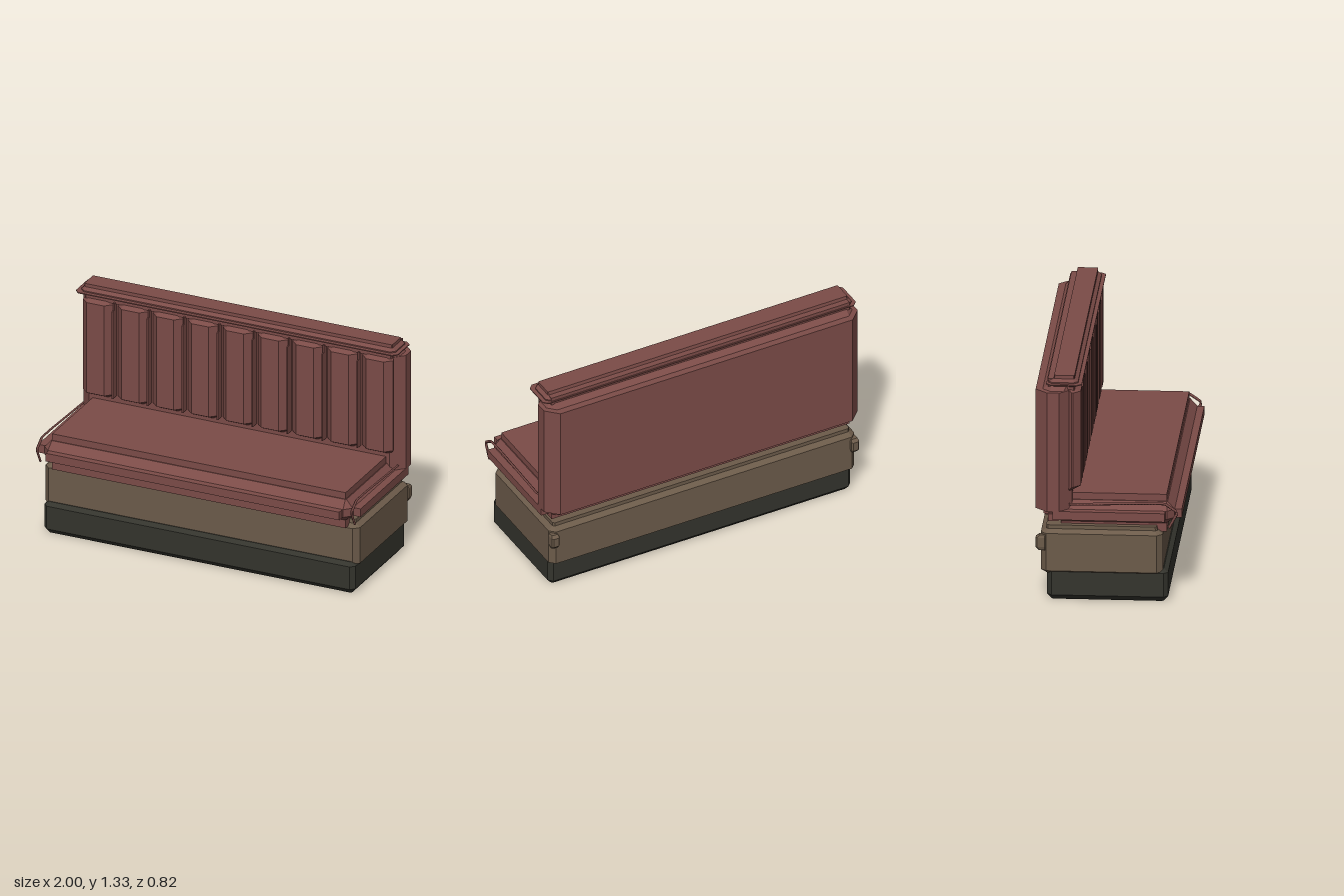
import * as THREE from 'three';

// Stack of octagonal rings [y, halfWidth, zBack, zFront, cornerCut], capped at both ends.
function loft(rings) {
  const pos = [];
  const loops = rings.map(([y, h, b, f, c]) => [
    [h - c, y, f], [h, y, f - c], [h, y, b + c], [h - c, y, b],
    [c - h, y, b], [-h, y, b + c], [-h, y, f - c], [c - h, y, f],
  ]);
  const tri = (a, b, c) => pos.push(...a, ...b, ...c);
  for (let i = 0; i < loops.length - 1; i++) {
    const lo = loops[i], hi = loops[i + 1];
    for (let k = 0; k < 8; k++) {
      const n = (k + 1) % 8;
      tri(lo[k], lo[n], hi[n]);
      tri(lo[k], hi[n], hi[k]);
    }
  }
  const bottom = loops[0], top = loops[loops.length - 1];
  for (let k = 1; k < 7; k++) {
    tri(top[0], top[k], top[k + 1]);
    tri(bottom[0], bottom[k + 1], bottom[k]);
  }
  const g = new THREE.BufferGeometry();
  g.setAttribute('position', new THREE.Float32BufferAttribute(pos, 3));
  g.computeVertexNormals();
  return g;
}

// Box given by its limits on each axis.
function block(x0, x1, y0, y1, z0, z1) {
  return new THREE.BoxGeometry(x1 - x0, y1 - y0, z1 - z0)
    .translate((x0 + x1) / 2, (y0 + y1) / 2, (z0 + z1) / 2);
}

export function createModel() {
  const model = new THREE.Group();
  model.name = 'boothBench';
  const paint = (name, color) => {
    const m = new THREE.MeshStandardMaterial({ color });
    m.name = name;
    return m;
  };
  const red = paint('redUpholstery', 0x7c4c48);
  const brown = paint('brownBase', 0x6c5b4a);
  const dark = paint('darkPlinth', 0x34342d);
  const add = (name, geometry, material, x = 0) => {
    const mesh = new THREE.Mesh(geometry, material);
    mesh.name = name;
    mesh.position.x = x;
    model.add(mesh);
  };

  // Plinth and base cabinet
  add('plinth', loft([
    [0, 0.94, -0.32, 0.31, 0.01], [0.03, 0.965, -0.345, 0.335, 0.025],
    [0.17, 0.965, -0.345, 0.335, 0.025], [0.19, 0.94, -0.32, 0.31, 0.01],
  ]), dark);
  add('baseCabinet', loft([
    [0.155, 0.945, -0.35, 0.275, 0.01], [0.175, 0.975, -0.38, 0.305, 0.032],
    [0.395, 0.975, -0.38, 0.305, 0.032], [0.415, 0.945, -0.35, 0.275, 0.01],
    [0.437, 0.945, -0.35, 0.27, 0.01],
  ]), brown);

  // Seat: lower rim, bevelled cushion, and lips on all four edges
  add('seatUnderside', block(-0.91, 0.91, 0.4, 0.46, -0.27, 0.325), red);
  add('seatCushion', loft([
    [0.45, 0.91, -0.27, 0.325, 0.005], [0.487, 0.955, -0.315, 0.37, 0.04],
    [0.535, 0.955, -0.315, 0.37, 0.04], [0.58, 0.915, -0.27, 0.33, 0.005],
  ]), red);
  add('seatTop', block(-0.91, 0.91, 0.56, 0.62, -0.22, 0.325), red);
  add('seatFrontLip', block(-0.91, 0.91, 0.485, 0.535, -0.355, 0.41), red);
  add('seatSideLip', block(-1, 1, 0.485, 0.535, -0.31, 0.32), red);

  // Backrest shell
  add('backrestFoot', block(-0.95, 0.95, 0.462, 0.54, -0.34, -0.28), red);
  add('backrestShell', loft([
    [0.5, 0.95, -0.365, -0.26, 0.02], [0.53, 0.97, -0.37, -0.205, 0.045],
    [0.531, 1, -0.41, -0.205, 0.068], [1.234, 1, -0.41, -0.205, 0.068],
    [1.235, 0.975, -0.37, -0.205, 0.045], [1.262, 0.95, -0.34, -0.215, 0.02],
  ]), red);

  // Upright cushions and the seams between them
  const pitch = 0.2167;
  for (let i = 0; i < 9; i++) {
    add('backCushion', loft([
      [0.642, 0.075, -0.245, -0.205, 0.015], [0.668, 0.094, -0.245, -0.157, 0.04],
      [1.225, 0.094, -0.245, -0.157, 0.04], [1.24, 0.08, -0.245, -0.19, 0.02],
    ]), red, (i - 4) * pitch - 0.005);
    if (i < 8) {
      add('backSeam', block(-0.004, 0.004, 0.66, 1.2, -0.21, -0.157), red, (i - 3.5) * pitch - 0.007);
      add('backSeamTop', block(-0.004, 0.004, 1.2, 1.245, -0.21, -0.175), red, (i - 3.5) * pitch - 0.007);
    }
  }

  // Head roll with a thin piping edge
  add('headRoll', loft([
    [1.235, 0.95, -0.305, -0.19, 0.005], [1.257, 0.95, -0.31, -0.19, 0.005],
    [1.268, 0.975, -0.34, -0.17, 0.025], [1.289, 0.975, -0.34, -0.17, 0.025],
    [1.305, 0.955, -0.308, -0.19, 0.005], [1.325, 0.955, -0.305, -0.19, 0.005],
  ]), red);
  add('headRollRear', block(-0.95, 0.95, 1.255, 1.303, -0.34, -0.28), red);
  add('headPiping', loft([
    [1.276, 0.998, -0.348, -0.148, 0.025], [1.282, 0.998, -0.348, -0.148, 0.025],
  ]), red);

  // Paired side cords and rear corner blocks
  const cord = [[0.57, -0.22], [0.585, 0.2], [0.585, 0.32], [0.54, 0.385], [0.525, 0.385], [0.445, 0.342]];
  for (const side of [-1, 1]) {
    const path = new THREE.CurvePath();
    for (let i = 0; i < cord.length - 1; i++) {
      const [a, b] = [cord[i], cord[i + 1]].map(([y, z]) => new THREE.Vector3(side * 0.975, y, z));
      path.add(new THREE.LineCurve3(a, b));
    }
    const tube = new THREE.TubeGeometry(path, 40, 0.008, 4, false);
    add('sideCord', tube, red);
    add('cornerBlock', loft([
      [0.295, 0.018, -0.39, -0.35, 0.005], [0.315, 0.024, -0.408, -0.35, 0.008],
      [0.37, 0.024, -0.408, -0.35, 0.008], [0.385, 0.018, -0.39, -0.35, 0.005],
    ]), brown, side * 0.955);
  }
  return model;
}
